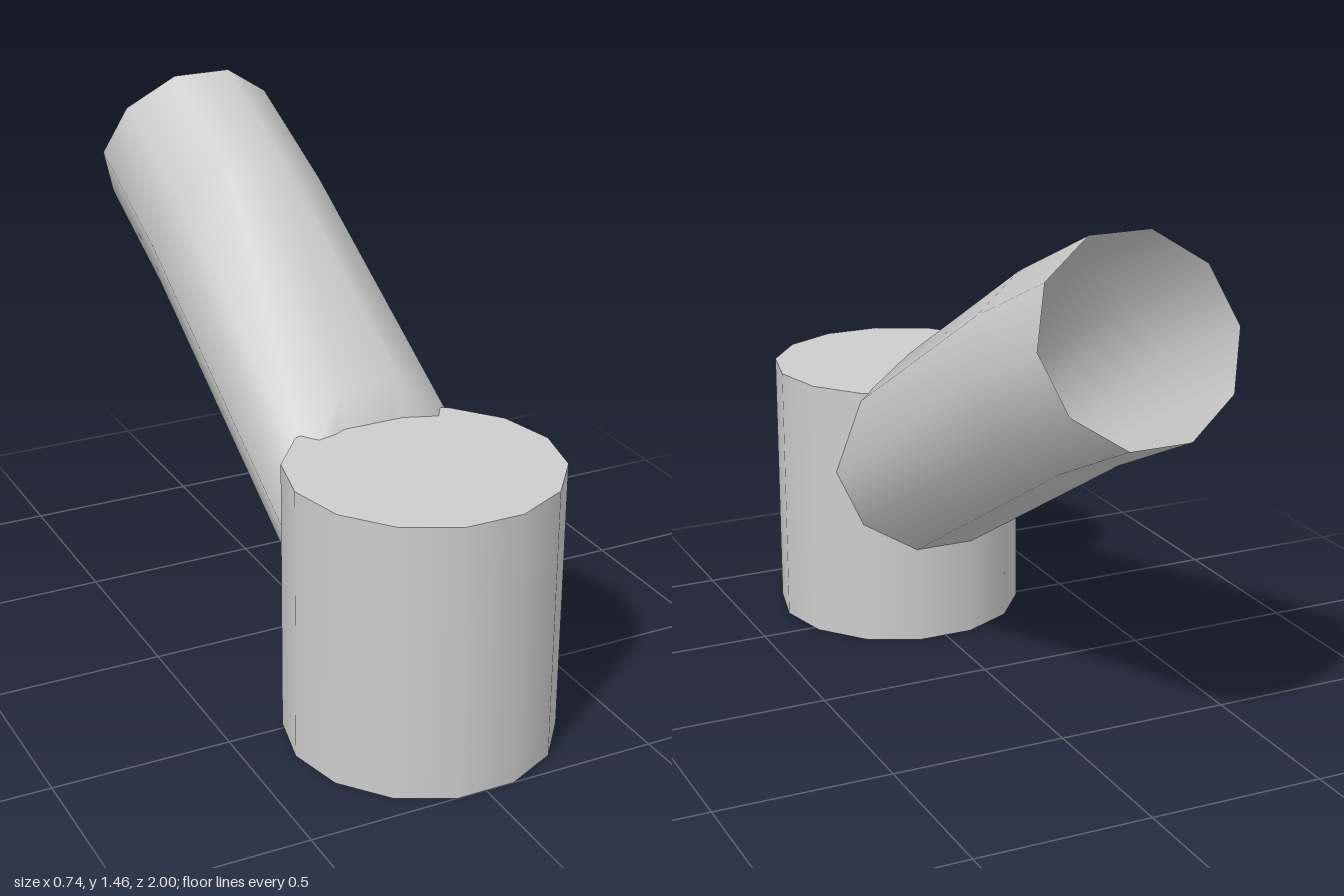
import * as THREE from 'three';

// Skins a smooth open tube over elliptical rings; "up" is the ring's second half-axis in the y-z plane
function loftRings(rings, sides) {
  const positions = [], indices = [];
  for (const { centre, up, halfWidth } of rings) {
    for (let i = 0; i < sides; i++) {
      const a = (i / sides) * Math.PI * 2;
      positions.push(
        halfWidth * Math.cos(a),
        centre[0] + up[0] * Math.sin(a),
        centre[1] + up[1] * Math.sin(a)
      );
    }
  }
  for (let r = 0; r < rings.length - 1; r++) {
    for (let i = 0; i < sides; i++) {
      const j = (i + 1) % sides;
      const a = r * sides + i, b = r * sides + j;
      const c = a + sides, d = b + sides;
      indices.push(a, c, b, b, c, d);
    }
  }
  const geometry = new THREE.BufferGeometry();
  geometry.setAttribute('position', new THREE.Float32BufferAttribute(positions, 3));
  geometry.setIndex(indices);
  geometry.computeVertexNormals();
  return geometry;
}

export function createModel() {
  const model = new THREE.Group();
  model.name = 'angledPipe';

  const grey = new THREE.MeshStandardMaterial({ color: 0xcccccc, side: THREE.DoubleSide });
  grey.name = 'light grey';

  // Upright base with a corner on each side
  const height = 0.775;
  const base = new THREE.Mesh(
    new THREE.CylinderGeometry(0.37, 0.37, height, 14, 1, false, Math.PI / 2), grey);
  base.name = 'base';
  base.position.set(0, height / 2, 0.64);
  model.add(base);

  // Open pipe: elbow inside the base, long rising run, slight bend, open mouth (values are y, z)
  const pipe = new THREE.Mesh(loftRings([
    { centre: [0.40, 0.64], up: [0, -0.22], halfWidth: 0.28 },
    { centre: [0.442, 0.558], up: [0.461, -0.234], halfWidth: 0.288 },
    { centre: [1.052, -0.51], up: [0.252, 0.126], halfWidth: 0.28 },
    { centre: [1.225, -0.885], up: [0.252, 0.118], halfWidth: 0.278 }
  ], 10), grey);
  pipe.name = 'pipe';
  model.add(pipe);

  return model;
}
